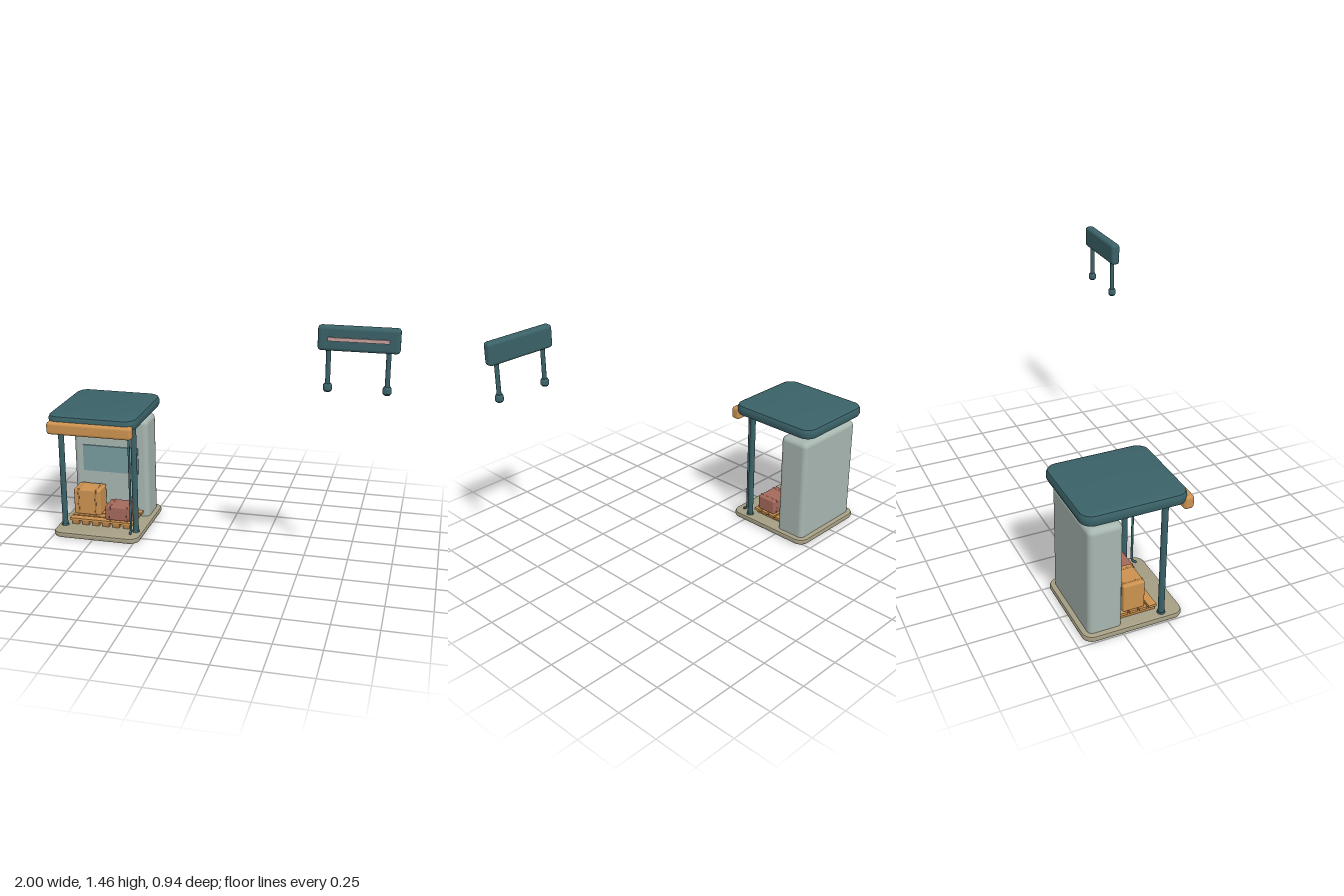
import * as THREE from 'three';
import { toCreasedNormals } from 'three/addons/utils/BufferGeometryUtils.js';
import { RoundedBoxGeometry } from 'three/addons/geometries/RoundedBoxGeometry.js';

const paint = (name, color) => {
  const m = new THREE.MeshStandardMaterial({ color });
  m.name = name;
  return m;
};

// Horizontal slab with rounded corners and bevelled rims, centred on the origin
function slabGeometry(w, h, d, r, bevel) {
  const x = w / 2 - bevel, y = d / 2 - bevel, c = Math.max(r - bevel, 0.004);
  const s = new THREE.Shape();
  s.absarc(x - c, y - c, c, 0, Math.PI / 2);
  s.absarc(-x + c, y - c, c, Math.PI / 2, Math.PI);
  s.absarc(-x + c, -y + c, c, Math.PI, Math.PI * 1.5);
  s.absarc(x - c, -y + c, c, Math.PI * 1.5, Math.PI * 2);
  s.closePath();
  const g = new THREE.ExtrudeGeometry(s, {
    depth: h - 2 * bevel, bevelEnabled: true, bevelSize: bevel,
    bevelThickness: bevel, bevelSegments: 2, curveSegments: 5,
  });
  g.translate(0, 0, -(h - 2 * bevel) / 2);
  g.rotateX(-Math.PI / 2);
  return toCreasedNormals(g, 0.6);
}

export function createModel() {
  const teal = paint('teal metal', 0x3a6268);
  const orange = paint('orange', 0xcc9250);
  const wallGrey = paint('wall grey', 0xa8b6b0);
  const stone = paint('stone', 0xa59e84);
  const glass = paint('window blue', 0x779b9f);
  const brick = paint('red brown', 0xa5695a);
  const strapTone = paint('strap ochre', 0xb58045);
  const pink = paint('light strip', 0xc6a3a0);

  const model = new THREE.Group();
  const add = (parent, name, geo, mat, x, y, z) => {
    const mesh = new THREE.Mesh(geo, mat);
    mesh.name = name;
    mesh.position.set(x, y, z);
    parent.add(mesh);
    return mesh;
  };
  const box = (w, h, d) => new THREE.BoxGeometry(w, h, d);

  // Kiosk shell
  const kiosk = new THREE.Group();
  kiosk.name = 'kiosk';
  model.add(kiosk);
  const cx = -0.735;
  add(kiosk, 'basePlate', slabGeometry(0.53, 0.036, 0.56, 0.06, 0.014), stone, cx, 0.018, -0.18);
  add(kiosk, 'roof', slabGeometry(0.53, 0.068, 0.575, 0.07, 0.022), teal, cx, 0.73, -0.1825);
  add(kiosk, 'fascia', new RoundedBoxGeometry(0.51, 0.075, 0.058, 2, 0.018), orange, cx, 0.693, 0.1);
  add(kiosk, 'backWall', new RoundedBoxGeometry(0.47, 0.65, 0.187, 3, 0.03), wallGrey, cx, 0.33, -0.3365);
  add(kiosk, 'window', box(0.35, 0.165, 0.009), glass, cx, 0.3925, -0.2395);

  // Front posts and ceiling lamps
  for (const side of [-1, 1]) {
    const x = cx + side * 0.223;
    add(kiosk, 'post', new THREE.CylinderGeometry(0.017, 0.017, 0.67, 14), teal, x, 0.367, -0.018);
    add(kiosk, 'postFoot', new THREE.CylinderGeometry(0.02, 0.023, 0.01, 14), teal, x, 0.04, -0.018);
    const lx = cx + side * 0.14;
    add(kiosk, 'lampHousing', new THREE.CylinderGeometry(0.052, 0.048, 0.014, 20), teal, lx, 0.691, -0.033);
    add(kiosk, 'lampLens', new THREE.CylinderGeometry(0.036, 0.036, 0.006, 20), pink, lx, 0.683, -0.033);
  }

  // Rain pipe with a kicked-out foot
  const pipe = new THREE.CurvePath();
  const points = [[0.7, 0.022], [0.075, 0.022], [0.058, 0.026], [0.04, 0.048]]
    .map(([y, z]) => new THREE.Vector3(-0.529, y, z));
  for (let i = 0; i < 3; i++) pipe.add(new THREE.LineCurve3(points[i], points[i + 1]));
  add(kiosk, 'rainPipe', new THREE.TubeGeometry(pipe, 64, 0.007, 8), teal, 0, 0, 0);

  // Pallet: runners below, planks above
  const pallet = new THREE.Group();
  pallet.name = 'pallet';
  kiosk.add(pallet);
  for (let i = 0; i < 6; i++)
    add(pallet, 'runner', box(0.042, 0.026, 0.2), strapTone, -0.9 + i * 0.064, 0.048, -0.137);
  for (let i = 0; i < 4; i++)
    add(pallet, 'plank', box(0.4, 0.014, 0.044), orange, -0.735, 0.068, -0.055 - i * 0.054);

  // Cargo boxes with straps
  const cargo = (name, w, h, d, mat, strapMat, x, z) => {
    const g = new THREE.Group();
    g.name = name;
    g.position.set(x, 0.075 + h / 2, z);
    kiosk.add(g);
    add(g, 'carton', new RoundedBoxGeometry(w, h, d, 2, 0.01), mat, 0, 0, 0);
    for (const s of [-1, 1])
      add(g, 'strap', new RoundedBoxGeometry(0.012, h + 0.003, d + 0.003, 2, 0.005), strapMat, s * w * 0.32, 0, 0);
  };
  cargo('tallBox', 0.168, 0.163, 0.122, orange, strapTone, -0.845, -0.16);
  cargo('shortBox', 0.168, 0.09, 0.125, brick, brick, -0.631, -0.112);

  // Separate hanging sign
  const sign = new THREE.Group();
  sign.name = 'sign';
  sign.position.set(0.8, 0, 0.44);
  model.add(sign);
  add(sign, 'signBoard', new RoundedBoxGeometry(0.4, 0.125, 0.053, 2, 0.018), teal, 0, 1.3925, 0);
  add(sign, 'signStrip', box(0.3, 0.018, 0.009), pink, 0, 1.392, 0.03);
  const foot = [[0, 0], [0.016, 0], [0.022, 0.008], [0.022, 0.033], [0.016, 0.042], [0, 0.042]]
    .map(([r, y]) => new THREE.Vector2(r, y));
  for (const side of [-1, 1]) {
    add(sign, 'signLeg', new THREE.CylinderGeometry(0.012, 0.012, 0.19, 12), teal, side * 0.146, 1.245, 0);
    add(sign, 'signFoot', toCreasedNormals(new THREE.LatheGeometry(foot, 14), 0.6), teal, side * 0.146, 1.121, 0);
  }

  return model;
}
